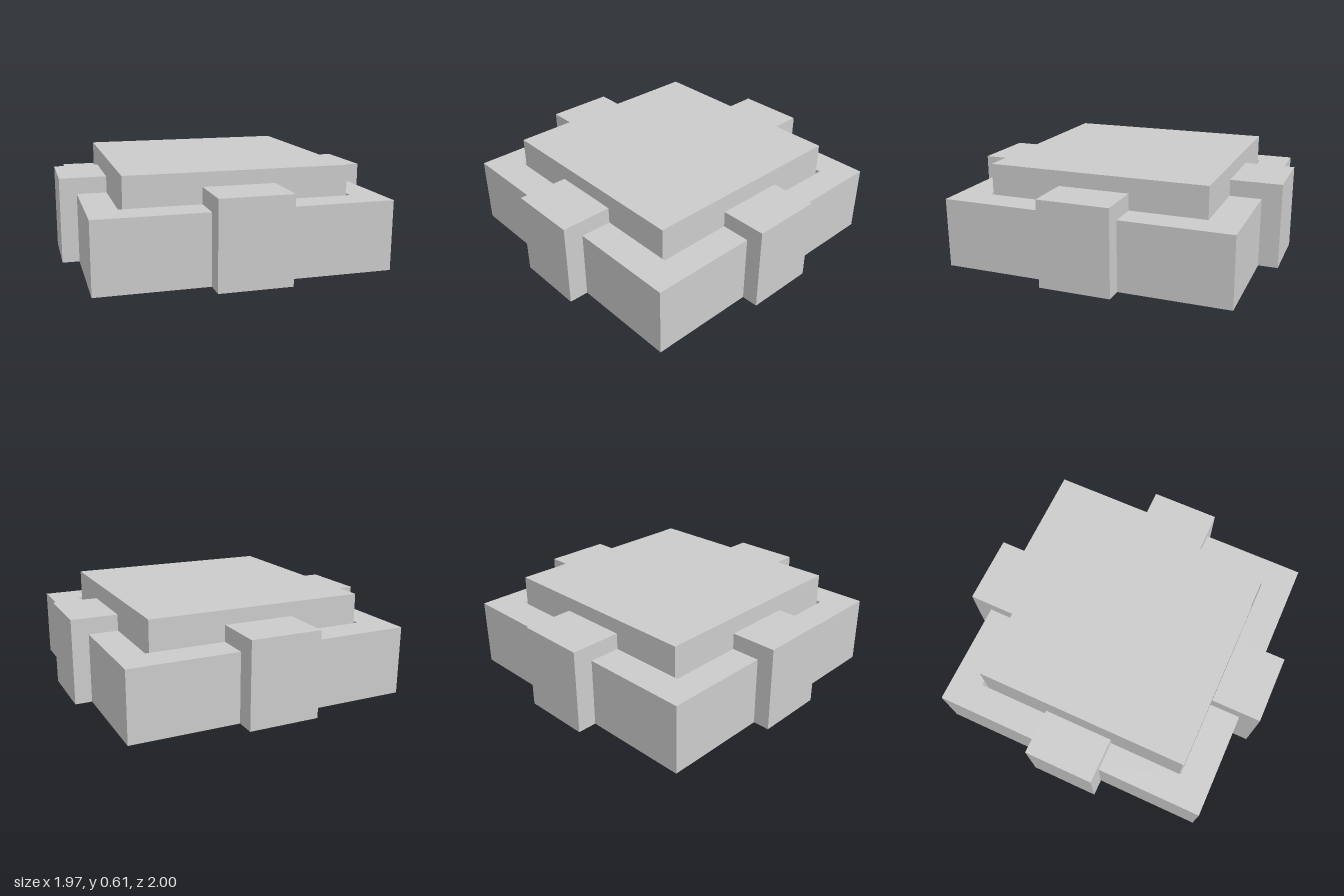
import * as THREE from 'three';

const OUT = 0.88, IN_X = 0.70, IN_Z = 0.685; // wall faces
const HALF = 0.218;                          // half width of a buttress
const WALL_H = 0.425, BUTTRESS_H = 0.525, CORE_H = 0.61, FLOOR_H = 0.02;

export function createModel() {
  const model = new THREE.Group();
  const material = new THREE.MeshStandardMaterial({ color: 0xcccccc, flatShading: true });

  function add(name, geometry) {
    const mesh = new THREE.Mesh(geometry, material);
    mesh.name = name;
    model.add(mesh);
  }

  // Box given by its extents along each axis
  function addBox(name, x0, x1, y0, y1, z0, z1) {
    const geometry = new THREE.BoxGeometry(x1 - x0, y1 - y0, z1 - z0);
    geometry.translate((x0 + x1) / 2, (y0 + y1) / 2, (z0 + z1) / 2);
    add(name, geometry);
  }

  // Floor and raised centre block, with a narrow groove around the block
  addBox('floor', -IN_X, IN_X, 0, FLOOR_H, -IN_Z, IN_Z);
  addBox('centreBlock', -0.675, 0.675, FLOOR_H, CORE_H, -0.678, 0.678);

  // L-shaped wall at each corner
  for (const sx of [-1, 1]) {
    for (const sz of [-1, 1]) {
      const corner = [
        [HALF, OUT], [OUT, OUT], [OUT, HALF], [IN_X, HALF], [IN_X, IN_Z], [HALF, IN_Z],
      ].map(([x, z]) => new THREE.Vector2(sx * x, -sz * z));
      const geometry = new THREE.ExtrudeGeometry(new THREE.Shape(corner), { depth: WALL_H, bevelEnabled: false });
      geometry.rotateX(-Math.PI / 2);
      add(`${sz > 0 ? 'front' : 'back'}${sx > 0 ? 'Left' : 'Right'}CornerWall`, geometry);
    }
  }

  // Taller buttress in the middle of each side
  addBox('frontButtress', -HALF, HALF, 0, BUTTRESS_H, IN_Z, 1);
  addBox('backButtress', -HALF, HALF, 0, BUTTRESS_H, -1, -IN_Z);
  addBox('leftButtress', IN_X, 0.983, 0, BUTTRESS_H, -HALF, HALF);
  addBox('rightButtress', -0.983, -IN_X, 0, BUTTRESS_H, -HALF, HALF);

  return model;
}
